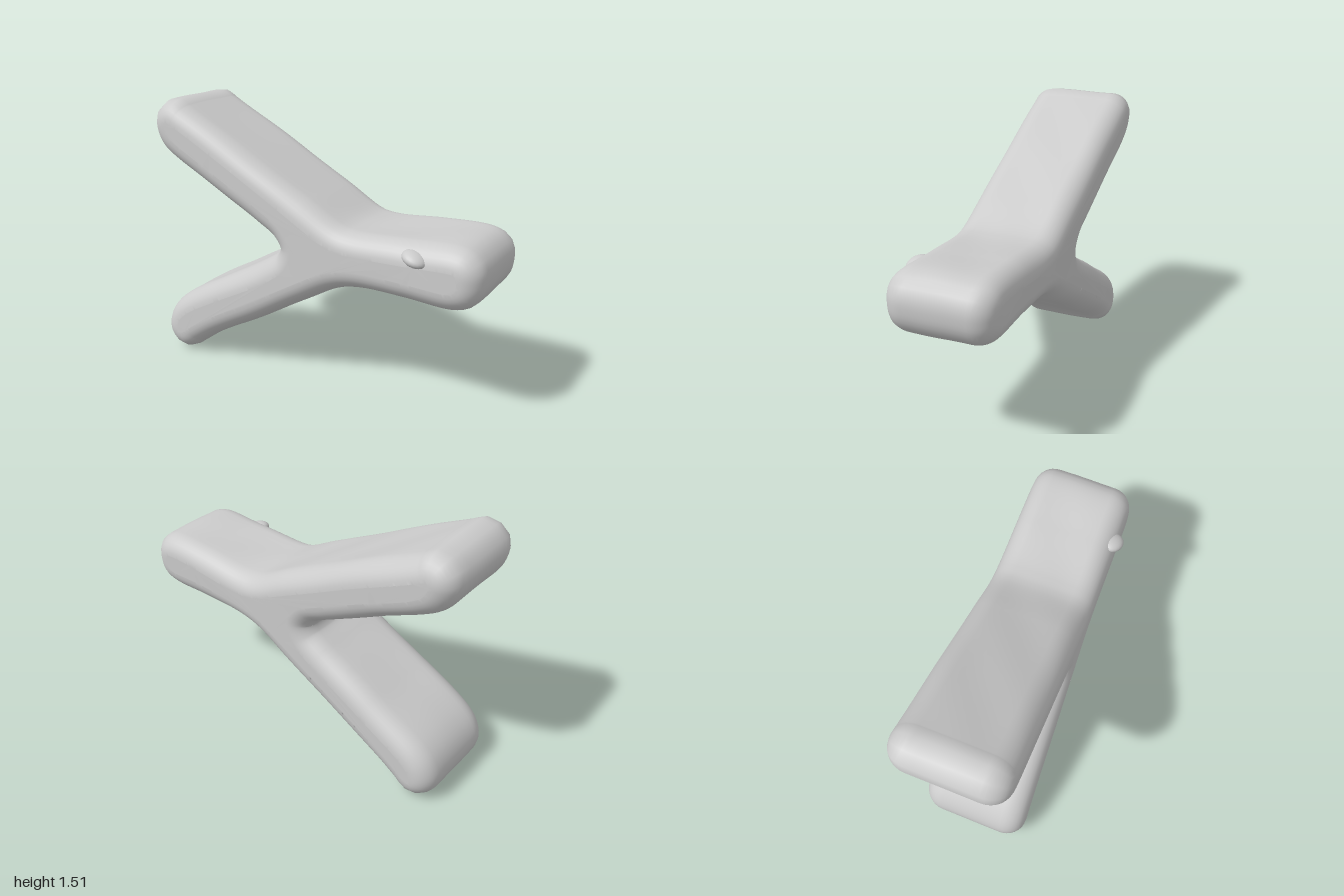
import * as THREE from 'three';
import { mergeVertices } from 'three/addons/utils/BufferGeometryUtils.js';

// Inner outline of the fork; the round bevel adds EDGE on every side
const EDGE = 0.11;
const CORE = [
  // upper arm, top side, into the single arm
  [-0.85, 1.38], [-0.45, 1.18], [-0.05, 0.97], [0.18, 0.855], [0.30, 0.835],
  // single arm with its blunt end
  [0.60, 0.85], [0.86, 0.862], [0.89, 0.85], [0.895, 0.81], [0.885, 0.77], [0.85, 0.755],
  [0.60, 0.76], [0.30, 0.75], [0.15, 0.71],
  // lower arm, underside, tip and upper side
  [-0.06, 0.59], [-0.36, 0.415], [-0.68, 0.23], [-0.79, 0.155], [-0.845, 0.115],
  [-0.865, 0.135], [-0.855, 0.185], [-0.81, 0.24], [-0.52, 0.41], [-0.20, 0.59],
  // crotch and underside of the upper arm
  [-0.085, 0.68], [-0.05, 0.79], [-0.11, 0.90], [-0.25, 0.985], [-0.55, 1.14],
  [-0.80, 1.265], [-0.865, 1.31], [-0.89, 1.35], [-0.895, 1.385], [-0.88, 1.395],
];

// Smooth shared normals
function smooth(geometry) {
  geometry.deleteAttribute('uv');
  geometry.deleteAttribute('normal');
  const merged = mergeVertices(geometry, 1e-5);
  merged.computeVertexNormals();
  return merged;
}

// Slight lean in depth, thinner toward +x, skewed ends and uneven edges
function shapeByHand(geometry) {
  const p = geometry.attributes.position;
  for (let i = 0; i < p.count; i++) {
    const x = p.getX(i), y = p.getY(i), z = p.getZ(i);
    const lean = 0.026 + 0.02 * x - 0.031 * y;
    const wobble = 0.004 * Math.sin(9 * x + 5 * z) * Math.cos(7 * y - 11 * z);
    p.setXYZ(i, x - 0.03 * z, y + wobble, z * (1 - 0.03 * x) + lean);
  }
  return geometry;
}

export function createModel() {
  const group = new THREE.Group();
  const material = new THREE.MeshStandardMaterial({ color: 0xcccccc });

  // Three-armed body
  const curve = new THREE.CatmullRomCurve3(
    CORE.map(([x, y]) => new THREE.Vector3(x, y, 0)), true, 'centripetal');
  curve.arcLengthDivisions = 2000;
  const outline = curve.getSpacedPoints(600).slice(0, -1)
    .map((v) => new THREE.Vector2(v.x, v.y));
  const bodyGeometry = new THREE.ExtrudeGeometry(new THREE.Shape(outline), {
    depth: 0.35, steps: 8,
    bevelEnabled: true, bevelThickness: 0.12, bevelSize: EDGE, bevelSegments: 8,
  });
  bodyGeometry.translate(0, 0, -0.175);
  const body = new THREE.Mesh(smooth(shapeByHand(bodyGeometry)), material);
  body.name = 'forkedBody';
  group.add(body);

  // Small nub on the front of the single arm
  const nub = new THREE.Mesh(new THREE.SphereGeometry(1, 20, 14), material);
  nub.name = 'nub';
  nub.scale.set(0.07, 0.035, 0.06);
  nub.position.set(0.655, 0.893, 0.278);
  nub.rotation.set(0, -0.35, -0.3);
  group.add(nub);

  return group;
}
